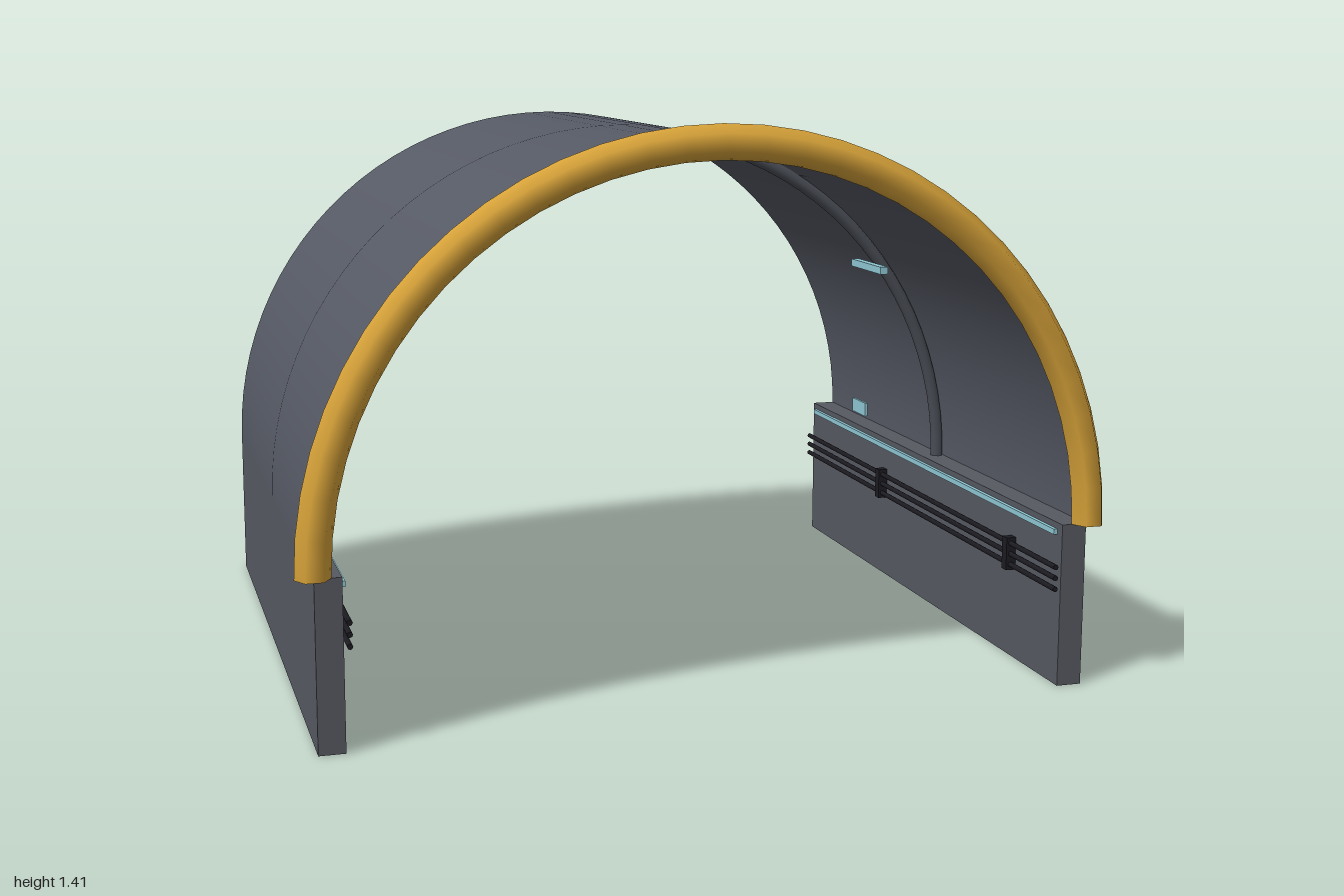
import * as THREE from 'three';

export function createModel() {
  const model = new THREE.Group();
  model.name = 'tunnel';

  const material = (name, color, side = THREE.FrontSide) => {
    const m = new THREE.MeshStandardMaterial({ color, side });
    m.name = name;
    return m;
  };
  const shellGrey = material('shell grey', 0x565a65, THREE.DoubleSide);
  const wallGrey = material('wall grey', 0x565961);
  const ribGrey = material('rib grey', 0x4a4e56, THREE.DoubleSide);
  const yellow = material('portal yellow', 0xd9a43a, THREE.DoubleSide);
  const black = material('cable black', 0x1b1b21);
  const cyan = material('light cyan', 0x8fc8d4);

  const add = (parent, name, geometry, mat, x = 0, y = 0, z = 0) => {
    const mesh = new THREE.Mesh(geometry, mat);
    mesh.name = name;
    mesh.position.set(x, y, z);
    parent.add(mesh);
    return mesh;
  };

  const radius = 0.953;
  const springY = 0.413; // height where the vault meets the walls
  const front = 0.835, back = -0.872;
  const length = front - back;
  const midZ = (front + back) / 2;

  // Half-round vault, open at both ends
  const vault = new THREE.CylinderGeometry(radius, radius, length, 48, 1, true, Math.PI / 2, Math.PI);
  vault.rotateX(Math.PI / 2);
  add(model, 'vault', vault, shellGrey, 0, springY, midZ);

  // Portal ring at the front and a slim rib halfway along
  add(model, 'portalArch', new THREE.TorusGeometry(0.955, 0.042, 6, 32, Math.PI), yellow, 0, springY, front);
  add(model, 'middleRib', new THREE.TorusGeometry(0.936, 0.0175, 8, 48, Math.PI), ribGrey, 0, springY, midZ);

  // Each side: wall, cables on brackets, light strip and vault lamp
  for (const side of [1, -1]) {
    const group = new THREE.Group();
    group.name = side > 0 ? 'leftSide' : 'rightSide';
    model.add(group);

    add(group, 'wall', new THREE.BoxGeometry(0.064, springY, length), wallGrey,
      side * 0.921, springY / 2, midZ);

    for (const y of [0.25, 0.278, 0.306]) {
      const cable = new THREE.CylinderGeometry(0.007, 0.007, length, 8);
      cable.rotateX(Math.PI / 2);
      add(group, 'cable', cable, black, side * 0.875, y, midZ);
    }
    for (const z of [0.575, -0.275]) {
      add(group, 'cableBracket', new THREE.BoxGeometry(0.026, 0.086, 0.026), black, side * 0.876, 0.278, z);
    }

    add(group, 'lightStrip', new THREE.BoxGeometry(0.01, 0.014, length * 0.97), cyan,
      side * 0.884, 0.39, midZ);
    add(group, 'vaultLamp', new THREE.BoxGeometry(0.022, 0.02, 0.21), cyan,
      side * 0.718, 0.963, midZ);
  }

  // Small plate above the left wall
  add(model, 'wallPlate', new THREE.BoxGeometry(0.008, 0.04, 0.1), cyan, 0.88, 0.475, -0.46);

  return model;
}
